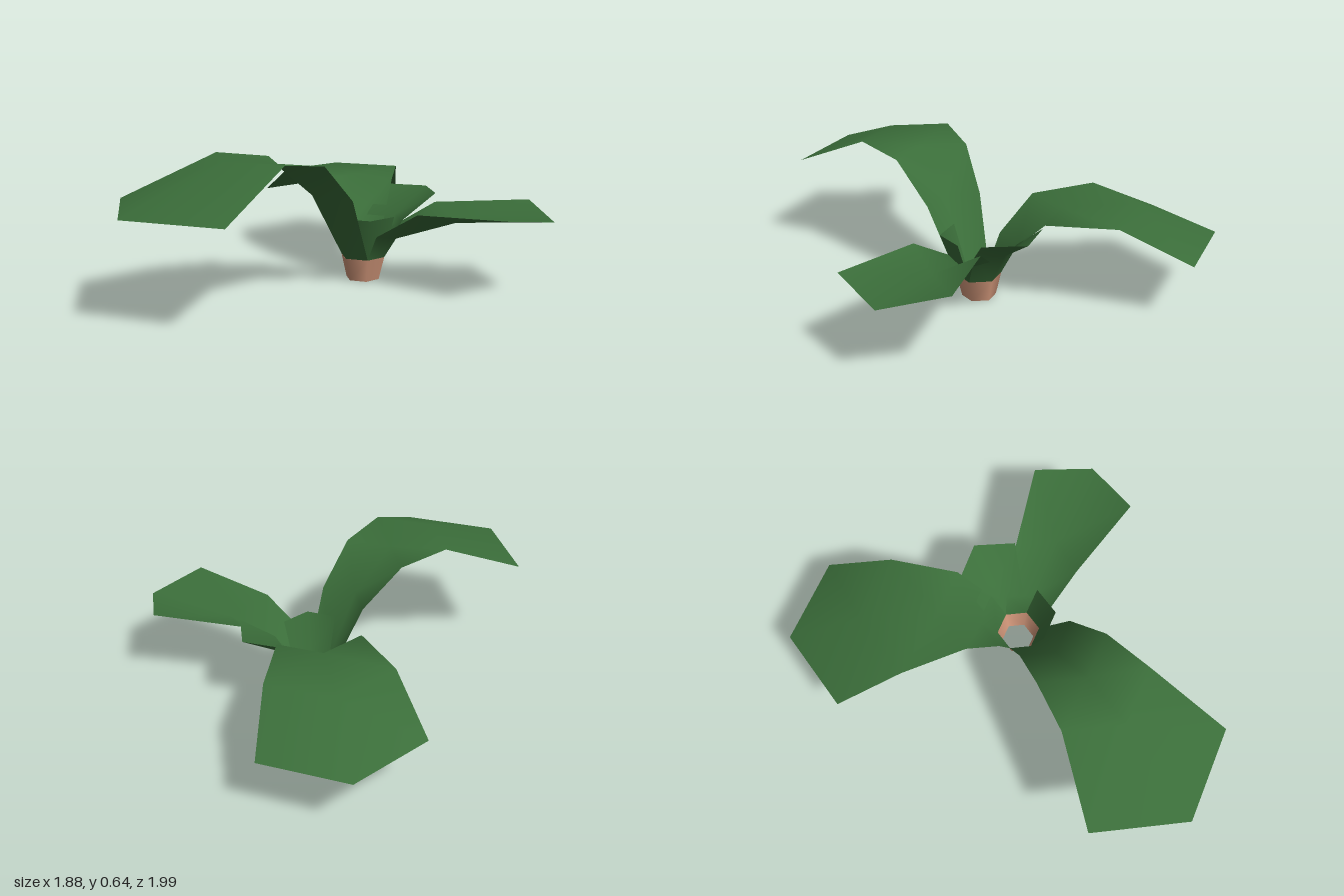
import * as THREE from 'three';

const CENTRE = { x: 0.18, z: 0.13 };
const POT_TOP = 0.11;

// Leaf from chevron sections: r = distance of the edges' midpoint from the pot centre,
// w = half width, y = edge height, d = spine lead, ty = spine height, s = sideways drift.
function leafGeometry(angleDeg, sections) {
  const a = THREE.MathUtils.degToRad(angleDeg);
  const dx = Math.cos(a), dz = Math.sin(a);
  const rows = [{ r: 0.053, w: 0.093, y: POT_TOP }, ...sections];
  const pos = [], index = [];
  const put = (along, side, y) =>
    pos.push(CENTRE.x + dx * along - dz * side, y, CENTRE.z + dz * along + dx * side);

  rows.forEach(({ r, w, y, d = w / Math.sqrt(3), ty = y, s = 0 }, i) => {
    put(r, s - w, y);
    put(r + d, s, ty);
    put(r, s + w, y);
    if (i === 0) return;
    const p = (i - 1) * 3, n = i * 3;
    index.push(p, p + 1, n, p + 1, n + 1, n);
    index.push(p + 1, p + 2, n + 2, p + 1, n + 2, n + 1);
  });

  const g = new THREE.BufferGeometry();
  g.setAttribute('position', new THREE.Float32BufferAttribute(pos, 3));
  g.setIndex(index);
  g.computeVertexNormals();
  return g;
}

const LEAVES = [
  { name: 'backLeaf', angle: -90, rows: [
    { r: 0.115, w: 0.13, y: 0.26 },
    { r: 0.28, w: 0.2, y: 0.433, s: 0.01 },
    { r: 0.595, w: 0.295, y: 0.44, s: 0.015 },
    { r: 0.92, w: 0.37, y: 0.28, s: 0.023 },
  ] },
  { name: 'longRightLeaf', angle: 150, rows: [
    { r: 0.2, w: 0.15, y: 0.42 },
    { r: 0.4, w: 0.2, y: 0.605, s: 0.01 },
    { r: 0.65, w: 0.25, y: 0.64, s: 0.015 },
    { r: 1.054, w: 0.4, y: 0.46, s: 0.014 },
  ] },
  { name: 'frontLeftLeaf', angle: 30, rows: [
    { r: 0.1, w: 0.11, y: 0.23, ty: 0.205 },
    { r: 0.31, w: 0.165, y: 0.363, d: 0.14, ty: 0.305, s: 0.01 },
    { r: 0.742, w: 0.262, y: 0.39, ty: 0.345, s: 0.03 },
  ] },
  { name: 'smallLeftLeaf', angle: -30, rows: [
    { r: 0.14, w: 0.12, y: 0.28 },
    { r: 0.293, w: 0.17, y: 0.405, d: 0.11, s: 0.02 },
  ] },
  { name: 'frontSprout', angle: 90, rows: [
    { r: 0.105, w: 0.13, y: 0.315, s: 0.005 },
  ] },
];

export function createModel() {
  const group = new THREE.Group();
  group.name = 'plant';
  const leafGreen = new THREE.MeshStandardMaterial({ color: 0x3b6e3a, side: THREE.DoubleSide });
  leafGreen.name = 'leafGreen';
  const stemBrown = new THREE.MeshStandardMaterial({ color: 0xd2977a, side: THREE.DoubleSide });
  stemBrown.name = 'stemBrown';

  // Open six-sided stem base
  const stem = new THREE.Mesh(
    new THREE.CylinderGeometry(0.107, 0.081, POT_TOP, 6, 1, true), stemBrown);
  stem.name = 'stemBase';
  stem.position.set(CENTRE.x, POT_TOP / 2, CENTRE.z);
  group.add(stem);

  // Leaves growing out of the stem rim
  for (const { name, angle, rows } of LEAVES) {
    const leaf = new THREE.Mesh(leafGeometry(angle, rows), leafGreen);
    leaf.name = name;
    group.add(leaf);
  }
  return group;
}
